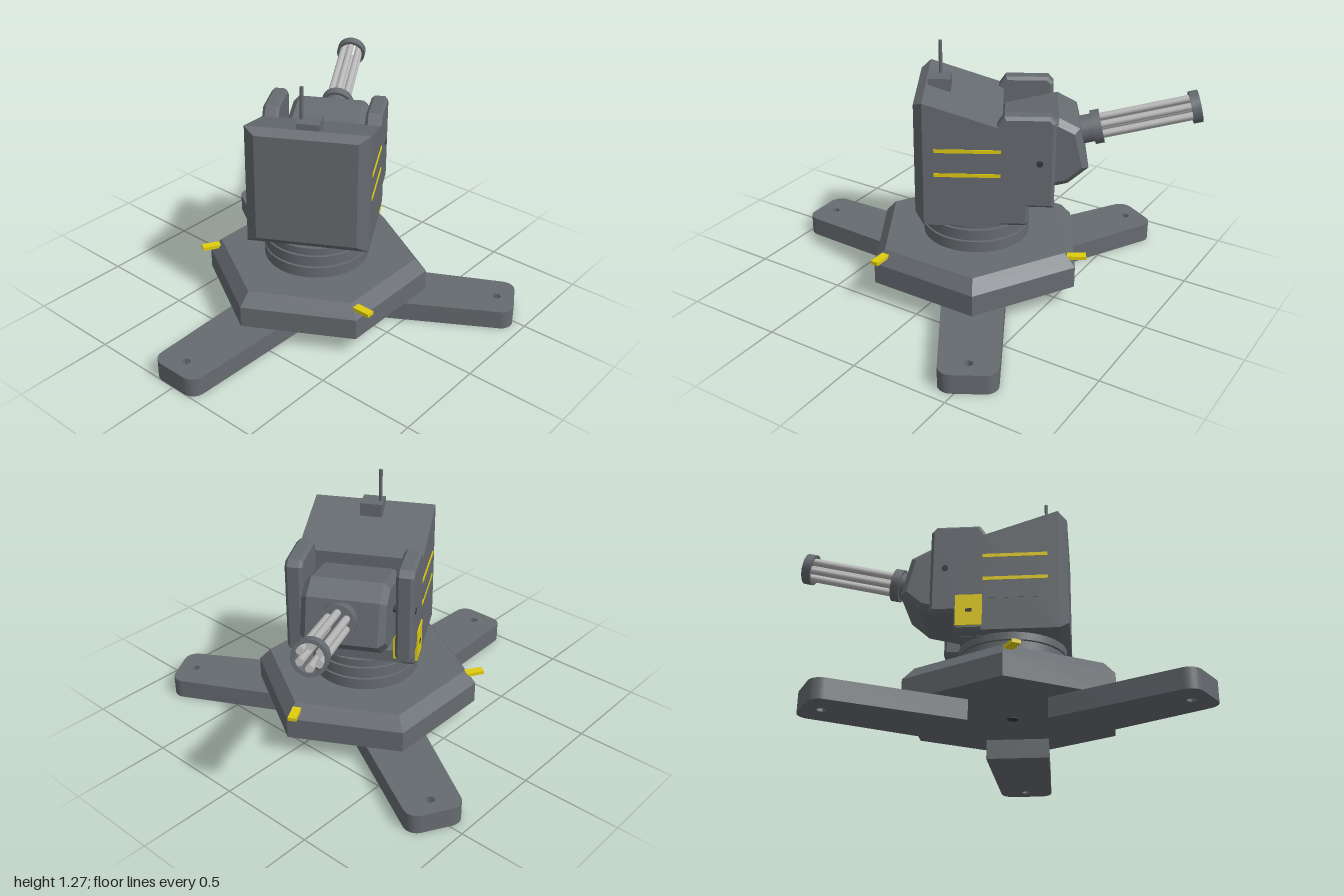
import * as THREE from 'three';
import { toCreasedNormals } from 'three/addons/utils/BufferGeometryUtils.js';
import { ConvexGeometry } from 'three/addons/geometries/ConvexGeometry.js';

const flat = new THREE.MeshStandardMaterial({ color: 0x666b70, flatShading: true });
const smooth = new THREE.MeshStandardMaterial({ color: 0x666b70 });
const dark = new THREE.MeshStandardMaterial({ color: 0x333639 });
const steel = new THREE.MeshStandardMaterial({ color: 0xb8b8b8 });
const yellow = new THREE.MeshStandardMaterial({ color: 0xe0cc10 });

function add(parent, name, geometry, material, x = 0, y = 0, z = 0) {
  const mesh = new THREE.Mesh(geometry, material);
  mesh.name = name;
  mesh.position.set(x, y, z);
  parent.add(mesh);
  return mesh;
}

// Box given by its lower and upper corners
function addBox(parent, name, material, [x0, y0, z0], [x1, y1, z1]) {
  return add(parent, name, new THREE.BoxGeometry(x1 - x0, y1 - y0, z1 - z0), material,
    (x0 + x1) / 2, (y0 + y1) / 2, (z0 + z1) / 2);
}

const polygon = (points) => new THREE.Shape(points.map(([x, y]) => new THREE.Vector2(x, y)));

// Side profile extruded across z, centred, with chamfered rims inside the given width
function chamferedSlab(points, width, chamfer) {
  const g = new THREE.ExtrudeGeometry(polygon(points), {
    depth: width - 2 * chamfer, bevelEnabled: true, bevelSegments: 1,
    bevelSize: chamfer, bevelThickness: chamfer, bevelOffset: -chamfer,
  });
  return g.translate(0, 0, chamfer - width / 2);
}

// Cylinder lying along x from x0 to x1
function rod(radius, x0, x1, sides = 24) {
  return new THREE.CylinderGeometry(radius, radius, x1 - x0, sides)
    .rotateZ(-Math.PI / 2).translate((x0 + x1) / 2, 0, 0);
}

// Open ring lying along x
function ring(outer, inner, x0, x1) {
  const s = new THREE.Shape().absarc(0, 0, outer, 0, Math.PI * 2);
  s.holes.push(new THREE.Path().absarc(0, 0, inner, 0, Math.PI * 2, true));
  const g = new THREE.ExtrudeGeometry(s, { depth: x1 - x0, bevelEnabled: false, curveSegments: 20 });
  return toCreasedNormals(g.rotateY(Math.PI / 2).translate(x0, 0, 0), 0.6);
}

function legGeometry() {
  const tip = 1.035, half = 0.14, r = 0.065;
  const s = new THREE.Shape();
  s.moveTo(0.305, -0.16);
  s.lineTo(tip - r, -half);
  s.absarc(tip - r, -half + r, r, -Math.PI / 2, 0);
  s.absarc(tip - r, half - r, r, 0, Math.PI / 2);
  s.lineTo(0.305, 0.16);
  s.closePath();
  const bolt = [];
  for (let i = 0; i < 6; i++) {
    const a = -i * Math.PI / 3;
    bolt.push(new THREE.Vector2(0.945 + 0.023 * Math.cos(a), 0.023 * Math.sin(a)));
  }
  s.holes.push(new THREE.Path(bolt));
  const g = new THREE.ExtrudeGeometry(s, { depth: 0.1, bevelEnabled: false, curveSegments: 6 });
  return toCreasedNormals(g.rotateX(-Math.PI / 2), 0.5);
}

function buildBase() {
  const base = new THREE.Group();
  base.name = 'base';

  // Three legs and three marker lights
  for (let i = 0; i < 3; i++) {
    const turn = i * Math.PI * 2 / 3;
    add(base, 'leg', legGeometry(), smooth).rotation.y = Math.PI + turn;
    const a = 0.07 + turn;
    const light = add(base, 'markerLight', new THREE.BoxGeometry(0.1, 0.018, 0.042), yellow,
      0.56 * Math.cos(a), 0.25, -0.56 * Math.sin(a));
    light.rotation.y = Math.PI / 6 + turn;
  }

  // Hexagonal platform with a sloped rim
  const rim = [[0, 0.1], [0.575, 0.1], [0.575, 0.21], [0.515, 0.275], [0, 0.275]];
  add(base, 'platform', new THREE.LatheGeometry(rim.map(([r, y]) => new THREE.Vector2(r, y)), 6), flat)
    .rotation.y = Math.PI / 6;
  add(base, 'centreBolt', new THREE.CylinderGeometry(0.03, 0.03, 0.004, 6), dark, 0, 0.1, 0);

  // Grooved turntable
  add(base, 'turntableCore', new THREE.CylinderGeometry(0.255, 0.255, 0.18, 40), smooth, 0, 0.355, 0);
  for (const [y0, y1] of [[0.27, 0.332], [0.342, 0.397], [0.407, 0.446]])
    add(base, 'turntableDisc', new THREE.CylinderGeometry(0.27, 0.27, y1 - y0, 40), smooth, 0, (y0 + y1) / 2, 0);
  return base;
}

function buildGun() {
  const gun = new THREE.Group();
  gun.name = 'gun';
  const housing = [[-0.16, -0.14], [-0.1, -0.19], [0.1, -0.19], [0.215, -0.13],
    [0.215, 0.08], [0.13, 0.155], [-0.14, 0.155], [-0.16, 0.13]];
  add(gun, 'gunHousing', chamferedSlab(housing, 0.4, 0.03), flat);
  add(gun, 'barrelHub', rod(0.07, 0.2, 0.27), smooth);
  add(gun, 'barrelCollar', rod(0.085, 0.27, 0.315), smooth);
  add(gun, 'muzzleRing', ring(0.08, 0.064, 0.755, 0.8), smooth);
  for (let i = 0; i < 6; i++) {
    const a = i * Math.PI / 3;
    add(gun, 'barrel', rod(0.018, 0.3, 0.79, 12), steel, 0, 0.049 * Math.cos(a), 0.049 * Math.sin(a));
  }
  return gun;
}

function buildTurret() {
  const turret = new THREE.Group();
  turret.name = 'turret';

  // Main body: chamfered back, roof sloping down to the front
  const corners = [];
  for (const s of [-1, 1])
    for (const [x, y, z] of [[-0.29, 0.49, 0.25], [-0.29, 1.05, 0.25], [-0.245, 0.445, 0.305],
      [-0.245, 1.078, 0.305], [0.13, 0.445, 0.305], [0.13, 0.955, 0.305]])
      corners.push(new THREE.Vector3(x, y, s * z));
  add(turret, 'body', new ConvexGeometry(corners), flat);
  addBox(turret, 'bodySill', flat, [0.1, 0.445, -0.23], [0.25, 0.51, 0.23]);

  // Cheek plates, pivot pins and warning stripes on both sides
  const cheek = [[0.08, 0.445], [0.25, 0.445], [0.263, 0.46], [0.263, 0.545], [0.382, 0.545],
    [0.382, 0.985], [0.355, 1.015], [0.14, 1.015], [0.1, 0.955], [0.08, 0.93]];
  for (const s of [-1, 1]) {
    add(turret, 'cheekPlate', chamferedSlab(cheek, 0.085, 0.015), flat, 0, 0, s * 0.2625);
    add(turret, 'pivotPin', new THREE.CylinderGeometry(0.016, 0.016, 0.12, 12).rotateX(Math.PI / 2),
      dark, 0.309, 0.78, s * 0.247);
    for (const y of [0.715, 0.84])
      add(turret, 'stripe', new THREE.BoxGeometry(0.317, 0.018, 0.012), yellow, -0.034, y, s * 0.303);
  }

  // Ammunition box with its slot, and an access panel
  addBox(turret, 'ammoBox', yellow, [0.125, 0.47, -0.31], [0.255, 0.63, -0.19]);
  addBox(turret, 'ammoSlot', dark, [0.175, 0.54, -0.313], [0.205, 0.555, -0.3]);
  addBox(turret, 'accessPanel', flat, [-0.14, 0.61, -0.307], [0.09, 0.79, -0.29]);

  // Antenna on its mount
  addBox(turret, 'antennaMount', flat, [-0.235, 1.0, -0.055], [-0.125, 1.105, 0.055]);
  add(turret, 'antenna', new THREE.CylinderGeometry(0.009, 0.009, 0.18, 10), smooth, -0.178, 1.18, -0.04);

  // Elevated gun on the cheek pivots
  const gun = buildGun();
  gun.position.set(0.309, 0.78, 0);
  gun.rotation.z = 0.235;
  turret.add(gun);
  return turret;
}

export function createModel() {
  const model = new THREE.Group();
  model.name = 'sentryTurret';
  const turret = buildTurret();
  turret.rotation.y = Math.PI / 6;
  model.add(buildBase(), turret);
  for (const part of model.children) part.position.x = 0.035;
  return model;
}
